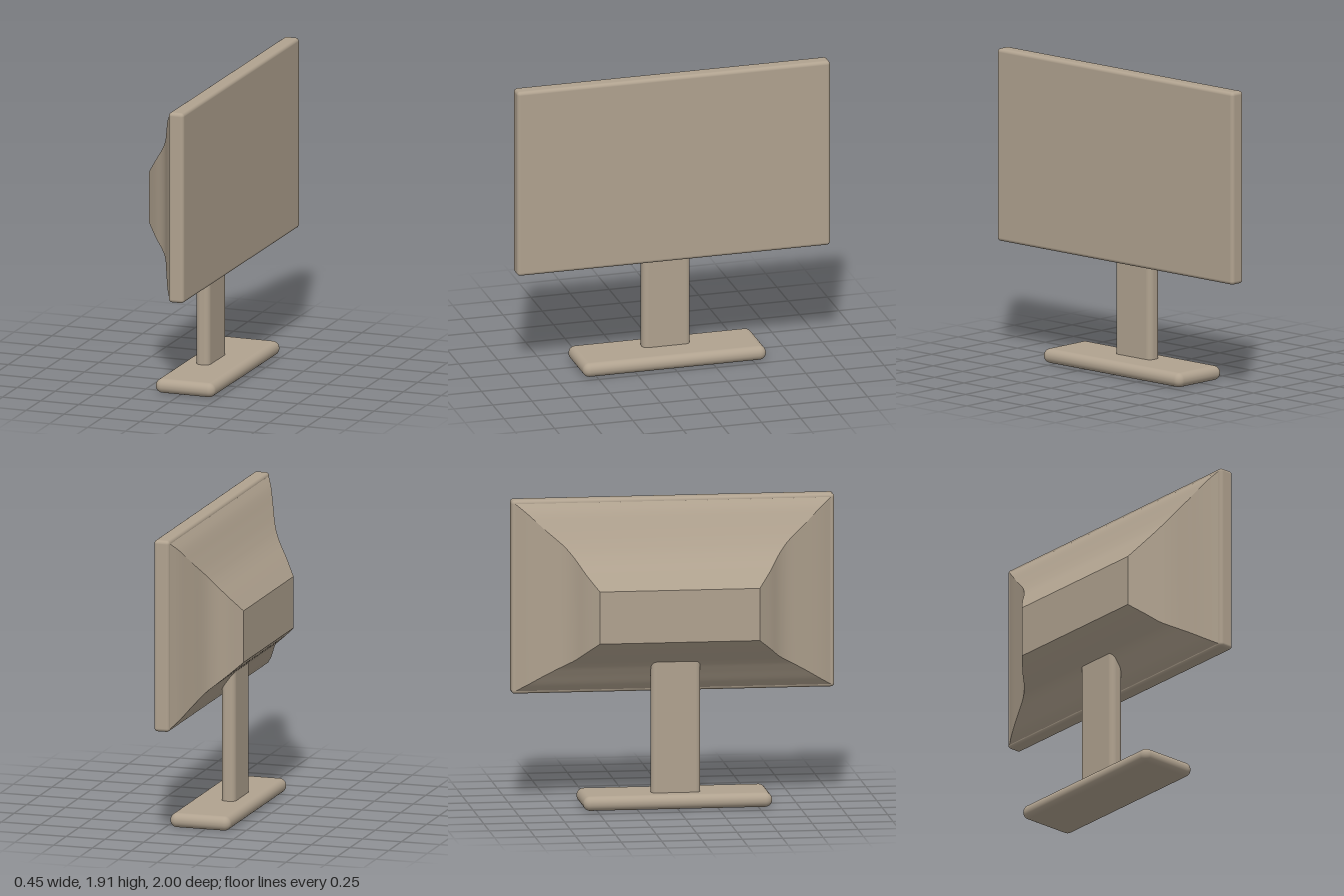
import * as THREE from 'three';
import { RoundedBoxGeometry } from 'three/addons/geometries/RoundedBoxGeometry.js';

const material = new THREE.MeshStandardMaterial({ color: 0xb0a28f });

function addPart(group, name, geometry, x = 0, y = 0, z = 0) {
  const mesh = new THREE.Mesh(geometry, material);
  mesh.name = name;
  mesh.position.set(x, y, z);
  group.add(mesh);
}

// Tapered rear shell: a rectangle lofted along x, with sharp corners between its four sides
function shellGeometry() {
  // x, half width, bottom, top
  const sections = [
    [-0.23, 0.495, 1.055, 1.38],
    [-0.16, 0.57, 0.99, 1.475],
    [-0.09, 0.635, 0.93, 1.57],
    [-0.05, 0.69, 0.895, 1.635],
    [0, 0.80, 0.83, 1.73],
    [0.05, 0.91, 0.76, 1.83],
    [0.095, 0.99, 0.71, 1.895],
  ];
  const curve = (k) => new THREE.CatmullRomCurve3(
    sections.map((s) => new THREE.Vector3(s[0], s[k], s[k + 1])));
  const widths = curve(1), heights = curve(2);
  const steps = 30;
  const rings = [];
  for (let i = 0; i <= steps; i++) {
    const w = widths.getPoint(i / steps), v = heights.getPoint(i / steps);
    const x = w.x, half = w.y, low = v.y, high = v.z;
    rings.push([[x, high, half], [x, high, -half], [x, low, -half], [x, low, half]]);
  }
  const positions = [], index = [];
  // Four curved sides, each with its own vertices
  for (let side = 0; side < 4; side++) {
    const start = positions.length / 3;
    rings.forEach((r) => positions.push(...r[side], ...r[(side + 1) % 4]));
    for (let i = 0; i < steps; i++) {
      const a = start + 2 * i;
      index.push(a, a + 2, a + 1, a + 1, a + 2, a + 3);
    }
  }
  // Flat back plate
  const cap = positions.length / 3;
  rings[0].forEach((p) => positions.push(...p));
  index.push(cap, cap + 1, cap + 2, cap, cap + 2, cap + 3);

  const geometry = new THREE.BufferGeometry();
  geometry.setAttribute('position', new THREE.Float32BufferAttribute(positions, 3));
  geometry.setIndex(index);
  geometry.computeVertexNormals();
  return geometry;
}

// Upright post with rounded vertical edges
function postGeometry(width, depth, height, r) {
  const a = width / 2, b = depth / 2;
  const shape = new THREE.Shape();
  shape.moveTo(a, -b + r);
  shape.absarc(a - r, b - r, r, 0, Math.PI / 2);
  shape.absarc(-a + r, b - r, r, Math.PI / 2, Math.PI);
  shape.absarc(-a + r, -b + r, r, Math.PI, Math.PI * 1.5);
  shape.absarc(a - r, -b + r, r, Math.PI * 1.5, Math.PI * 2);
  const geometry = new THREE.ExtrudeGeometry(shape, { depth: height, bevelEnabled: false, curveSegments: 10 });
  return geometry.rotateX(-Math.PI / 2);
}

export function createModel() {
  const group = new THREE.Group();
  group.name = 'monitor';
  addPart(group, 'screenPanel', new RoundedBoxGeometry(0.1, 1.205, 2, 5, 0.022), 0.137, 1.303);
  addPart(group, 'rearShell', shellGeometry());
  addPart(group, 'standPost', postGeometry(0.09, 0.305, 1.1, 0.035), -0.015, 0.05);
  addPart(group, 'base', new RoundedBoxGeometry(0.39, 0.09, 1.17, 8, 0.044), 0.03, 0.045);
  return group;
}
